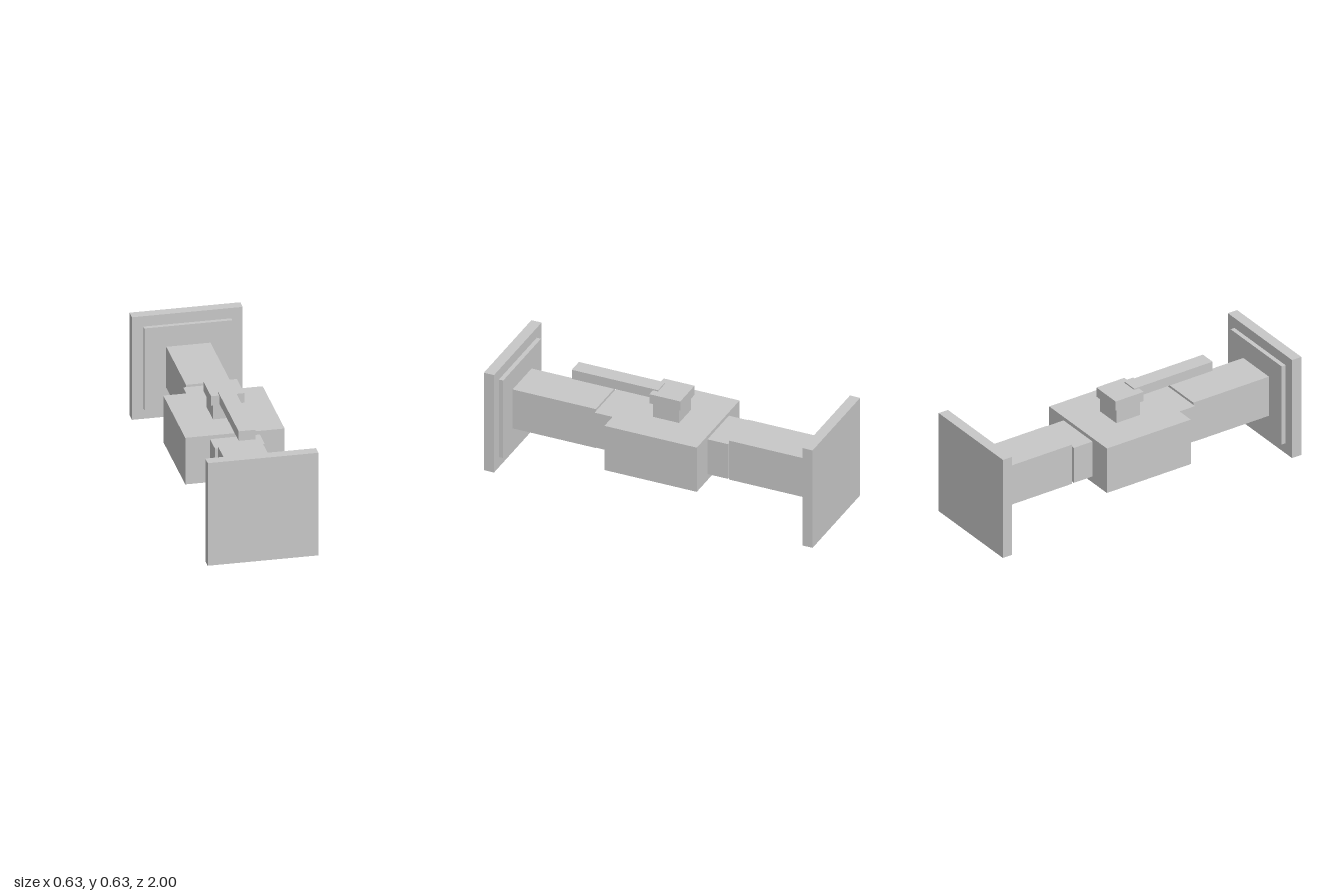
import * as THREE from 'three';

export function createModel() {
  const model = new THREE.Group();
  model.name = 'valve';
  const metal = new THREE.MeshStandardMaterial({ color: 0xc8c8c8 });
  metal.name = 'light grey metal';

  // Box from its width (centred on x = 0) and its y and z ranges
  function block(name, width, y0, y1, z0, z1, parent = model) {
    const mesh = new THREE.Mesh(new THREE.BoxGeometry(width, y1 - y0, z1 - z0), metal);
    mesh.name = name;
    mesh.position.set(0, (y0 + y1) / 2, (z0 + z1) / 2);
    parent.add(mesh);
  }

  // Valve body with stem, cap and lever
  block('body', 0.562, 0.163, 0.447, -0.281, 0.281);
  block('stem', 0.16, 0.447, 0.538, -0.08, 0.08);
  block('stemCap', 0.188, 0.538, 0.596, -0.094, 0.094);
  block('lever', 0.094, 0.546, 0.604, 0.063, 0.588);

  // Mirrored pipe ends: collar, pipe, gasket and flange
  for (const [name, side] of [['frontPipe', 1], ['backPipe', -1]]) {
    const end = new THREE.Group();
    end.name = name;
    const part = (label, width, y0, y1, near, far) =>
      block(label, width, y0, y1, Math.min(side * near, side * far), Math.max(side * near, side * far), end);
    part('collar', 0.282, 0.202, 0.425, 0.281, 0.406);
    part('pipe', 0.25, 0.189, 0.439, 0.406, 0.912);
    part('gasket', 0.498, 0.065, 0.563, 0.912, 0.938);
    part('flange', 0.626, 0, 0.626, 0.938, 1);
    model.add(end);
  }
  return model;
}
